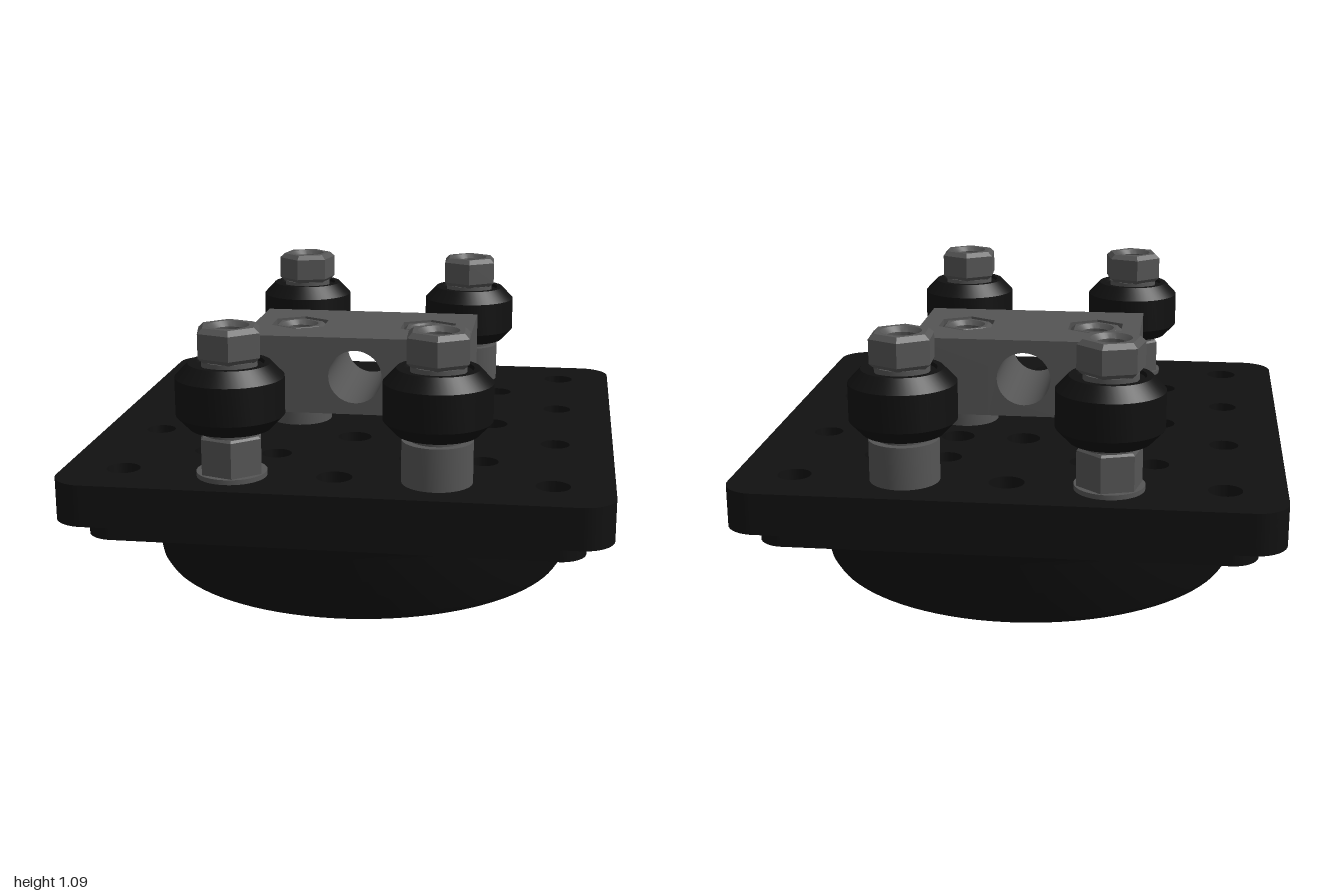
import * as THREE from 'three';
import { toCreasedNormals } from 'three/addons/utils/BufferGeometryUtils.js';

const black = new THREE.MeshStandardMaterial({ color: 0x111111 });
const steel = new THREE.MeshStandardMaterial({ color: 0x555555 });

function add(parent, name, geometry, material, x = 0, y = 0, z = 0) {
  const mesh = new THREE.Mesh(toCreasedNormals(geometry, 0.6), material);
  mesh.name = name;
  mesh.position.set(x, y, z);
  parent.add(mesh);
  return mesh;
}

// Closed outline turned about the y axis; points run up the outside, down the inside
function lathe(points, segments = 48) {
  return new THREE.LatheGeometry(points.map(([r, y]) => new THREE.Vector2(r, y)), segments);
}

function ring(outer, inner, y0, y1) {
  return lathe([[inner, y0], [outer, y0], [outer, y1], [inner, y1], [inner, y0]]);
}

function circle(x, y, r) {
  return new THREE.Path().absarc(x, y, r, 0, Math.PI * 2, true);
}

function rectangle(x0, x1, y0, y1) {
  return new THREE.Shape([[x0, y0], [x1, y0], [x1, y1], [x0, y1]].map(([x, y]) => new THREE.Vector2(x, y)));
}

function roundedSquare(h, r) {
  const s = new THREE.Shape();
  const c = h - r;
  [[c, c], [-c, c], [-c, -c], [c, -c]].forEach(([x, y], i) =>
    s.absarc(x, y, r, i * Math.PI / 2, (i + 1) * Math.PI / 2, false));
  return s;
}

function hexagon(r, turn = 0, Type = THREE.Shape, cx = 0) {
  const pts = [];
  for (let i = 0; i < 6; i++) {
    const a = Math.PI / 2 + turn + i * Math.PI / 3;
    pts.push(new THREE.Vector2(cx + r * Math.cos(a), r * Math.sin(a)));
  }
  return new Type(pts);
}

// Extrudes an outline upward from y0 to y1
function slab(shape, y0, y1, bevel = 0) {
  return new THREE.ExtrudeGeometry(shape, {
    depth: y1 - y0 - 2 * bevel, curveSegments: 20, bevelEnabled: bevel > 0,
    bevelThickness: bevel, bevelSize: bevel, bevelOffset: -bevel, bevelSegments: 1,
  }).rotateX(-Math.PI / 2).translate(0, y0 + bevel, 0);
}

function nut(r, bore, y0, y1, turn, bevel = 0.018) {
  const s = hexagon(r, turn);
  s.holes.push(circle(0, 0, bore));
  return slab(s, y0, y1, bevel);
}

export function createModel() {
  const model = new THREE.Group();
  model.name = 'wheeledCarriage';
  const corners = [[1, 1], [1, -1], [-1, 1], [-1, -1]];

  // Drilled mounting plate
  const plate = roundedSquare(1, 0.12);
  for (const [sx, sz] of corners) {
    for (const [x, z] of [[0.78, 0.78], [0.26, 0.52], [0.52, 0.52], [0.78, 0.26]]) {
      plate.holes.push(circle(sx * x, sz * z, x === 0.78 && z === 0.78 ? 0.062 : 0.056));
    }
  }
  const singles = [[0, 0.78], [0, -0.78], [0.52, 0], [-0.52, 0], [0.26, 0], [-0.26, 0],
    [0, 0.26], [0.26, 0.26], [-0.26, 0.26], [0, -0.26]];
  for (const [x, y] of singles) plate.holes.push(circle(x, y, 0.065));
  add(model, 'mountingPlate', slab(plate, 0.385, 0.54), black);

  // Square flange under the plate
  const flange = roundedSquare(0.905, 0.1);
  for (const [sx, sz] of corners) flange.holes.push(circle(sx * 0.78, sz * 0.78, 0.062));
  flange.holes.push(circle(0, 0, 0.46));
  add(model, 'flange', slab(flange, 0.305, 0.385), black);

  // Round hollow base with a stepped opening
  add(model, 'base', lathe([
    [0.46, 0.31], [0.6, 0.06], [0.64, 0.05], [0.66, 0], [0.79, 0], [0.815, 0.008], [0.832, 0.035],
    [0.878, 0.26], [0.886, 0.285], [0.905, 0.31], [0.46, 0.31],
  ], 96), black);

  // Clamp block: bored centre and two end pieces with nut pockets
  const block = new THREE.Group();
  block.name = 'clampBlock';
  model.add(block);
  const centre = rectangle(-0.14, 0.14, 0.63, 0.935);
  centre.holes.push(circle(0, 0.78, 0.105));
  add(block, 'boredCentre', new THREE.ExtrudeGeometry(centre,
    { depth: 0.52, bevelEnabled: false, curveSegments: 24 }), steel, 0, 0, -0.26);
  for (const s of [-1, 1]) {
    const x0 = s > 0 ? 0.14 : -0.44;
    const lower = rectangle(x0, x0 + 0.3, -0.26, 0.26);
    const upper = lower.clone();
    lower.holes.push(circle(s * 0.26, 0, 0.055));
    upper.holes.push(hexagon(0.122, 0, THREE.Path, s * 0.26));
    add(block, 'endLower', slab(lower, 0.63, 0.83), steel);
    add(block, 'endUpper', slab(upper, 0.83, 0.935), steel);
    add(block, 'pocketNut', nut(0.117, 0.055, 0.83, 0.932, 0), steel, s * 0.26);
    add(block, 'blockSpacer', ring(0.125, 0.055, 0.54, 0.62), steel, s * 0.26);
  }

  // Four wheels on bolts: plain spacers on one side, hexagonal ones on the other
  for (const [sx, sz] of corners) {
    const wheel = new THREE.Group();
    wheel.name = 'wheelAssembly';
    wheel.position.set(sx * 0.37, 0, sz * (sx > 0 ? 0.78 : 0.797));
    model.add(wheel);
    const turn = sx > 0 ? 0.05 : sz * 0.2;
    if (sx > 0) {
      add(wheel, 'spacer', ring(0.128, 0.05, 0.54, 0.697), steel);
    } else {
      add(wheel, 'spacerFlange', ring(0.128, 0.05, 0.54, 0.558), steel);
      add(wheel, 'hexSpacer', nut(0.122, 0.06, 0.55, 0.697, turn, 0.008), steel);
    }
    add(wheel, 'lowerWasher', ring(0.1, 0.05, 0.697, 0.73), steel);
    add(wheel, 'tyre', lathe([
      [0.05, 0.73], [0.12, 0.73], [0.125, 0.72], [0.148, 0.72], [0.195, 0.77], [0.195, 0.907],
      [0.148, 0.957], [0.125, 0.957], [0.12, 0.945], [0.05, 0.945], [0.05, 0.73],
    ]), black);
    add(wheel, 'upperWasher', ring(0.1, 0.05, 0.945, 0.967), steel);
    add(wheel, 'lockNut', nut(0.125, 0.055, 0.965, 1.09, turn), steel);
    add(wheel, 'bolt', new THREE.CylinderGeometry(0.056, 0.056, 0.64, 24), black, 0, 0.72, 0);
  }
  return model;
}
